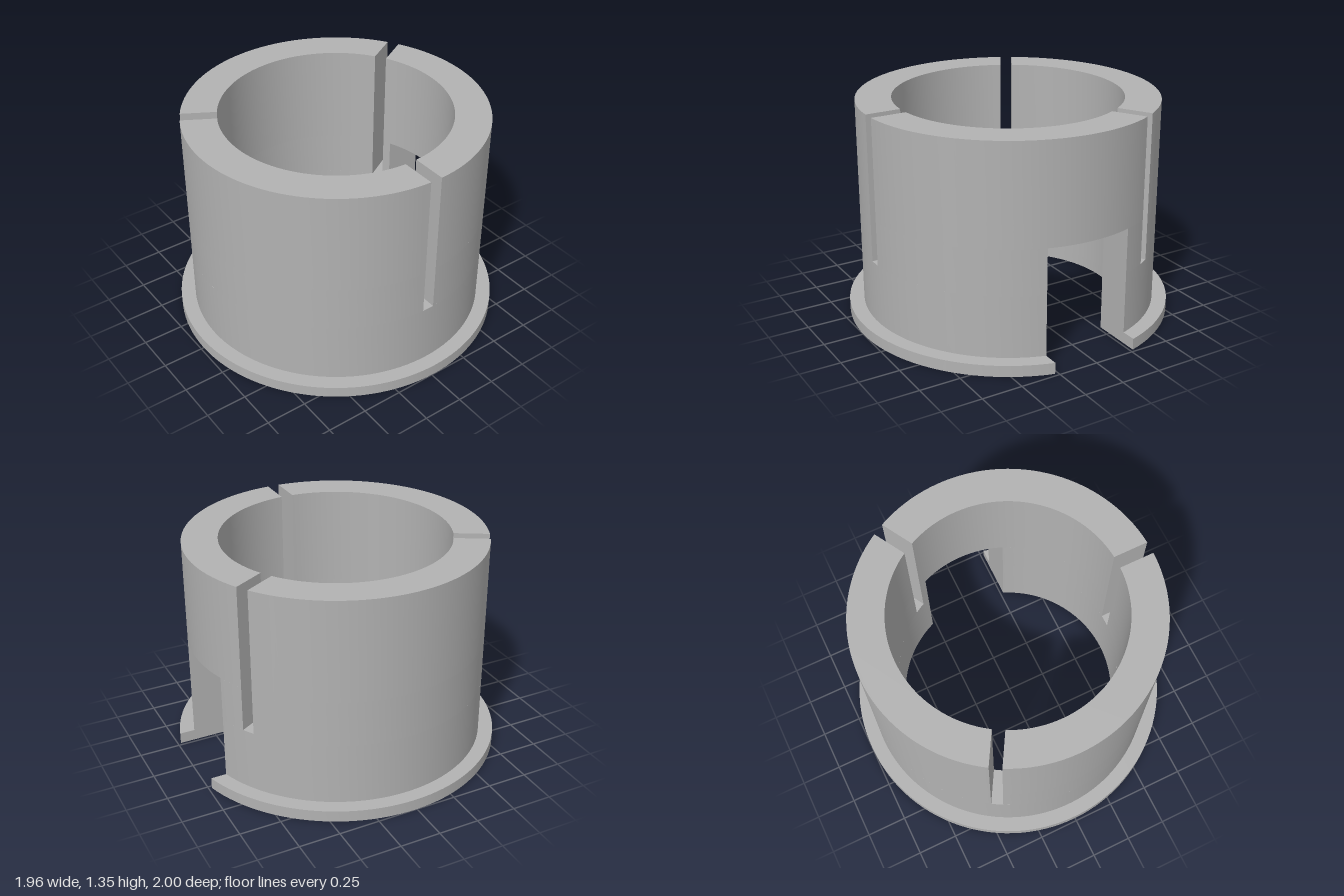
import * as THREE from 'three';
import { toCreasedNormals } from 'three/addons/utils/BufferGeometryUtils.js';

const CENTRE_X = 0.018;
const BORE = 0.695, SLEEVE = 0.91, FLANGE = 1.0;
const DEG = Math.PI / 180;

// Parallel-sided radial cuts: direction and half width
const windowCut = { angle: 0, half: 0.27 };
const slots = [30, 150, 270].map((d) => ({ angle: d * DEG, half: 0.037 }));

// Points along an arc from angle a to angle b
function arc(r, a, b) {
  const n = Math.max(2, Math.ceil(Math.abs(b - a) / (3 * DEG)));
  return Array.from({ length: n + 1 }, (_, i) => {
    const t = a + ((b - a) * i) / n;
    return new THREE.Vector2(r * Math.cos(t), r * Math.sin(t));
  });
}

// Ring segment left between two neighbouring cuts
function segment(from, to, outer, y0, y1) {
  const end = to.angle > from.angle ? to.angle : to.angle + 2 * Math.PI;
  const start = (r) => from.angle + Math.asin(from.half / r);
  const stop = (r) => end - Math.asin(to.half / r);
  const shape = new THREE.Shape([
    ...arc(outer, start(outer), stop(outer)),
    ...arc(BORE, stop(BORE), start(BORE)),
  ]);
  const geo = new THREE.ExtrudeGeometry(shape, { depth: y1 - y0, bevelEnabled: false });
  geo.rotateX(-Math.PI / 2);
  geo.translate(CENTRE_X, y0, 0);
  return toCreasedNormals(geo, 0.4);
}

export function createModel() {
  const group = new THREE.Group();
  const grey = new THREE.MeshStandardMaterial({ color: 0xb2b2b2 });
  grey.name = 'grey';

  // A level of the bushing, divided by its cuts
  function addLevel(name, cuts, outer, y0, y1) {
    const level = new THREE.Group();
    level.name = name;
    cuts.forEach((cut, i) => {
      const next = cuts[(i + 1) % cuts.length];
      const mesh = new THREE.Mesh(segment(cut, next, outer, y0, y1), grey);
      mesh.name = `${name}Segment${i + 1}`;
      level.add(mesh);
    });
    group.add(level);
  }

  addLevel('flange', [windowCut], FLANGE, 0, 0.07);
  addLevel('lowerSleeve', [windowCut], SLEEVE, 0.07, 0.45);
  addLevel('slottedSleeve', [windowCut, ...slots], SLEEVE, 0.45, 0.73);
  addLevel('upperSleeve', slots, SLEEVE, 0.73, 1.35);
  return group;
}
